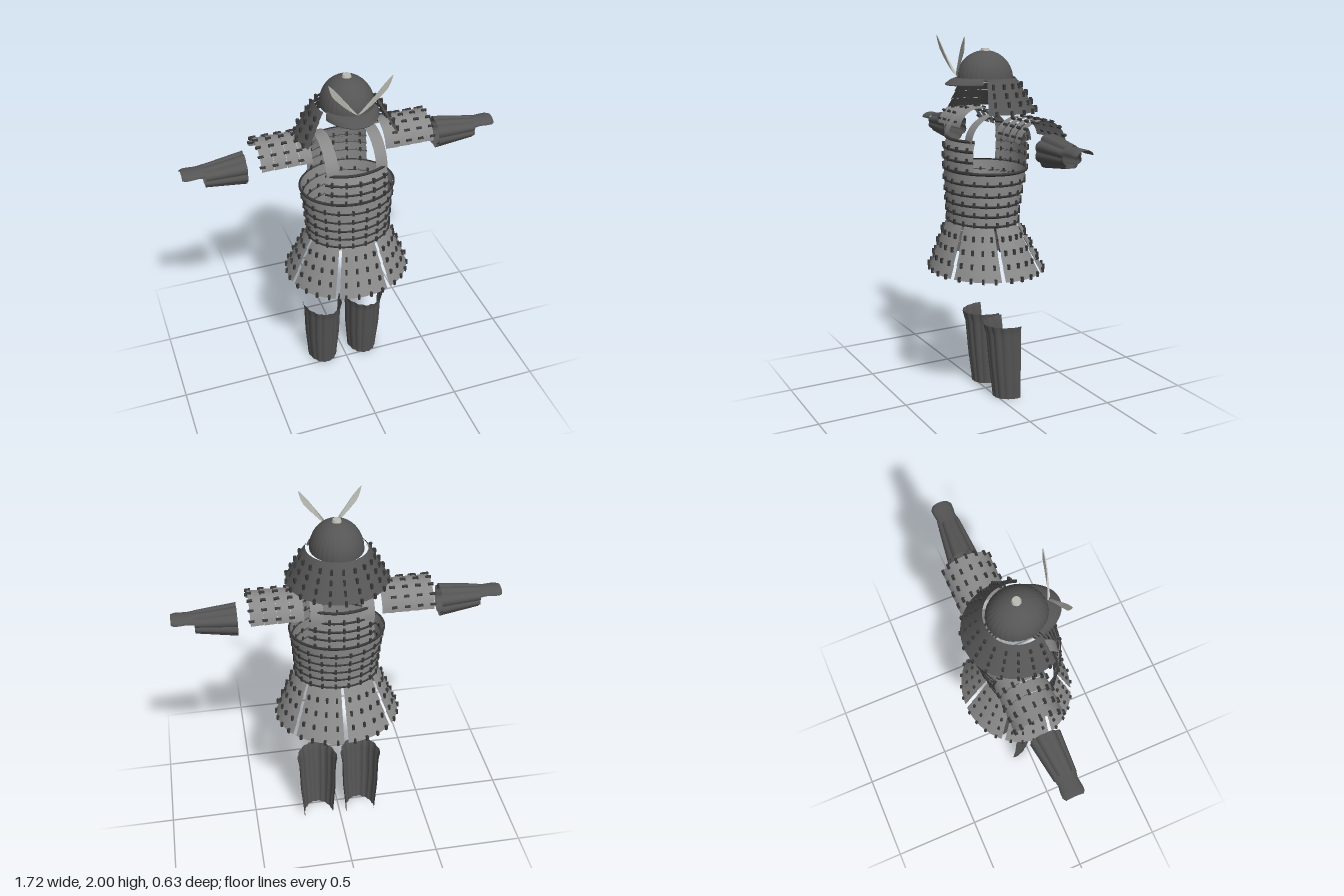
import * as THREE from 'three';
import { mergeGeometries } from 'three/addons/utils/BufferGeometryUtils.js';

const mat = (name, color) => {
  const m = new THREE.MeshStandardMaterial({ color, side: THREE.DoubleSide });
  m.name = name;
  return m;
};
const rad = Math.PI / 180;

// A row is [height, radiusX, radiusZ, centreZ]; angle 0 faces +z.
function shellGeometry(rows, a0, a1, segs, lobes = 0, depth = 0) {
  const pos = [], idx = [];
  rows.forEach(([y, rx, rz, cz = 0], i) => {
    for (let j = 0; j <= segs; j++) {
      const a = (a0 + (a1 - a0) * j / segs) * rad;
      const k = 1 - depth * (1 - Math.abs(Math.sin(a * lobes / 2)));
      pos.push(rx * k * Math.sin(a), y, cz + rz * k * Math.cos(a));
      if (i && j) {
        const q = i * (segs + 1) + j, p = q - segs - 1;
        idx.push(p - 1, q - 1, q, p - 1, q, p);
      }
    }
  });
  const g = new THREE.BufferGeometry();
  g.setAttribute('position', new THREE.Float32BufferAttribute(pos, 3));
  g.setIndex(idx);
  g.computeVertexNormals();
  return g;
}

const lerpRows = (a, b, n) => Array.from({ length: n + 1 }, (_, i) =>
  a.map((v, k) => v + (b[k] - v) * i / n));
const grow = ([y, rx, rz, cz], d, dy = 0) => [y + dy, rx + d, rz + d, cz];

export function createModel() {
  const root = new THREE.Group();
  root.name = 'armour';
  const dark = mat('darkPlate', 0x555555);
  const grey = mat('greyPlate', 0x8a8a8a);
  const lace = mat('lacing', 0x3a3a3a);
  const pale = mat('paleMetal', 0xbcbcb6);

  const add = (parent, name, geometry, material) => {
    const m = new THREE.Mesh(geometry, material);
    m.name = name;
    parent.add(m);
    return m;
  };
  const group = (parent, name) => {
    const g = new THREE.Group();
    g.name = name;
    parent.add(g);
    return g;
  };

  // Overlapping lames with a row of lacing knots along each lower edge
  function tiered(parent, name, rows, a0, a1, material, knots, rims = false) {
    const g = group(parent, name);
    const segs = Math.max(8, Math.round((a1 - a0) / 6));
    const boxes = [], bands = [];
    for (let i = 0; i < rows.length; i++) {
      if (rims) bands.push(shellGeometry([grow(rows[i], 0.001, 0.008), grow(rows[i], 0.01, 0.003),
        grow(rows[i], 0.01, -0.004), grow(rows[i], 0.001, -0.009)], a0, a1, segs));
      if (!i) continue;
      add(g, 'lame', shellGeometry([rows[i - 1], grow(rows[i], 0.006)], a0, a1, segs), material);
      const [y, rx, rz, cz] = grow(rows[i], 0.007);
      for (let k = 0; k < knots; k++) {
        const a = (a0 + (a1 - a0) * (k + 0.5) / knots) * rad;
        const box = new THREE.BoxGeometry(0.012, 0.028, 0.014);
        box.rotateY(a);
        box.translate(rx * Math.sin(a), y + Math.sign(rows[0][0] - y) * 0.006, cz + rz * Math.cos(a));
        boxes.push(box);
      }
    }
    add(g, 'lacingKnots', mergeGeometries(boxes), lace);
    if (rims) add(g, 'laceRims', mergeGeometries(bands), lace);
    return g;
  }

  // Helmet bowl, knob and visor
  const helmet = group(root, 'helmet');
  const dome = Array.from({ length: 13 }, (_, i) => {
    const t = (1 - i / 12) * Math.PI / 2;
    return [1.77 + 0.152 * Math.sin(t), 0.139 * Math.cos(t) + 0.0005, 0.155 * Math.cos(t) + 0.0005, 0.005];
  });
  add(helmet, 'helmetBowl', shellGeometry(dome, -180, 180, 128, 32, 0.012), dark);
  add(helmet, 'helmetKnob', new THREE.CylinderGeometry(0.02, 0.028, 0.022, 20), pale).position.set(0, 1.922, 0.003);
  add(helmet, 'visor', shellGeometry([[1.782, 0.139, 0.155, 0.005], [1.772, 0.15, 0.195, 0],
    [1.752, 0.155, 0.23, 0], [1.745, 0.152, 0.225, 0], [1.765, 0.139, 0.16, 0]], -65, 65, 28), dark);

  // Crest horns, leaning forward as they rise
  const horn = new THREE.Shape();
  horn.moveTo(0, 1.79);
  horn.quadraticCurveTo(0.075, 1.85, 0.137, 1.925);
  horn.quadraticCurveTo(0.155, 1.955, 0.163, 2.0);
  horn.quadraticCurveTo(0.125, 1.965, 0.088, 1.91);
  horn.lineTo(0.008, 1.805);
  horn.closePath();
  for (const s of [1, -1]) {
    const g = new THREE.ExtrudeGeometry(horn, { depth: 0.005, bevelEnabled: false, curveSegments: 10 });
    const p = g.attributes.position;
    for (let i = 0; i < p.count; i++) p.setZ(i, p.getZ(i) + 0.165 + 0.04 * Math.sqrt(Math.max(0, (p.getY(i) - 1.79) / 0.21)));
    g.computeVertexNormals();
    add(helmet, s > 0 ? 'leftHorn' : 'rightHorn', g, pale).scale.x = s;
  }

  // Neck guard, open at the face
  tiered(helmet, 'neckGuard', lerpRows([1.78, 0.16, 0.16, 0], [1.605, 0.258, 0.264, -0.005], 4), 65, 295, dark, 13);

  // Waist section of the cuirass
  tiered(root, 'cuirass', [[1.295, 0.25, 0.212, 0.005], [1.235, 0.24, 0.205, 0.01], [1.175, 0.232, 0.196, 0.014],
    [1.12, 0.228, 0.19, 0.018], [1.065, 0.224, 0.184, 0.02], [1.012, 0.222, 0.182, 0.02]], -180, 180, grey, 20, true);

  // Chest and back plates
  tiered(root, 'chestPlate', [[1.46, 0.238, 0.19, 0.01], [1.41, 0.244, 0.205, 0.01],
    [1.355, 0.247, 0.21, 0.008], [1.3, 0.248, 0.212, 0.005]], -43, 43, grey, 5, true);
  tiered(root, 'backPlate', [[1.51, 0.235, 0.2, 0], [1.455, 0.242, 0.208, 0], [1.405, 0.246, 0.213, 0],
    [1.355, 0.248, 0.213, 0.002], [1.3, 0.248, 0.212, 0.005]], 137, 223, grey, 5, true);

  // Seven flared skirt panels
  for (let i = 0; i < 7; i++) {
    const mid = i * 360 / 7;
    tiered(root, 'skirtPanel', lerpRows([1.012, 0.222, 0.184, 0.02], [0.735, 0.338, 0.305, 0], 4),
      mid - 23.8, mid + 23.8, grey, 4);
  }

  for (const s of [1, -1]) {
    const side = group(root, s > 0 ? 'leftSide' : 'rightSide');
    side.scale.x = s;

    // Sideways shells: local y runs outward, angle -90 is the top
    const sideways = (name, y, z) => {
      const g = group(side, name);
      g.rotation.z = -Math.PI / 2;
      g.position.set(0, y, z);
      return g;
    };

    // Strap over the shoulder
    add(sideways('strapHolder', 1.45, 0), 'shoulderStrap',
      shellGeometry([[0.1, 0.152, 0.187, -0.01], [0.165, 0.152, 0.178, -0.01]], -180, 0, 30), grey);

    // Upper arm guard
    tiered(sideways('upperArm', 1.465, -0.075), 'armGuard',
      lerpRows([0.2, 0.126, 0.13, 0], [0.47, 0.126, 0.13, 0], 4), -170, -10, grey, 7);

    // Forearm guard of lobed splints and curved hand plate
    const arm = sideways('forearm', 1.453, -0.072);
    add(arm, 'forearmGuard', shellGeometry([[0.53, 0.088, 0.084, -0.002], [0.745, 0.059, 0.062, 0.008]],
      -180, 180, 96, 8, 0.13), dark);
    add(arm, 'forearmLining', shellGeometry([[0.532, 0.074, 0.07, -0.002], [0.743, 0.049, 0.052, 0.008]],
      -180, 180, 48, 8, 0.08), dark);
    add(sideways('hand', 1.473, -0.066), 'handPlate', shellGeometry([[0.74, 0.032, 0.06, 0], [0.78, 0.03, 0.052, 0],
      [0.82, 0.03, 0.057, 0], [0.845, 0.03, 0.057, 0], [0.862, 0.028, 0.045, 0]], -180, 0, 20), dark);

    // Shin guard, open behind
    const shin = add(side, 'shinGuard', shellGeometry([[0.435, 0.118, 0.162, -0.09], [0.41, 0.113, 0.156, -0.09],
      [0.375, 0.108, 0.147, -0.092], [0.2, 0.104, 0.136, -0.097], [0.04, 0.09, 0.122, -0.103],
      [0, 0.088, 0.12, -0.105]], -92, 92, 80, 16, 0.05), dark);
    shin.position.x = 0.127;
  }
  return root;
}
